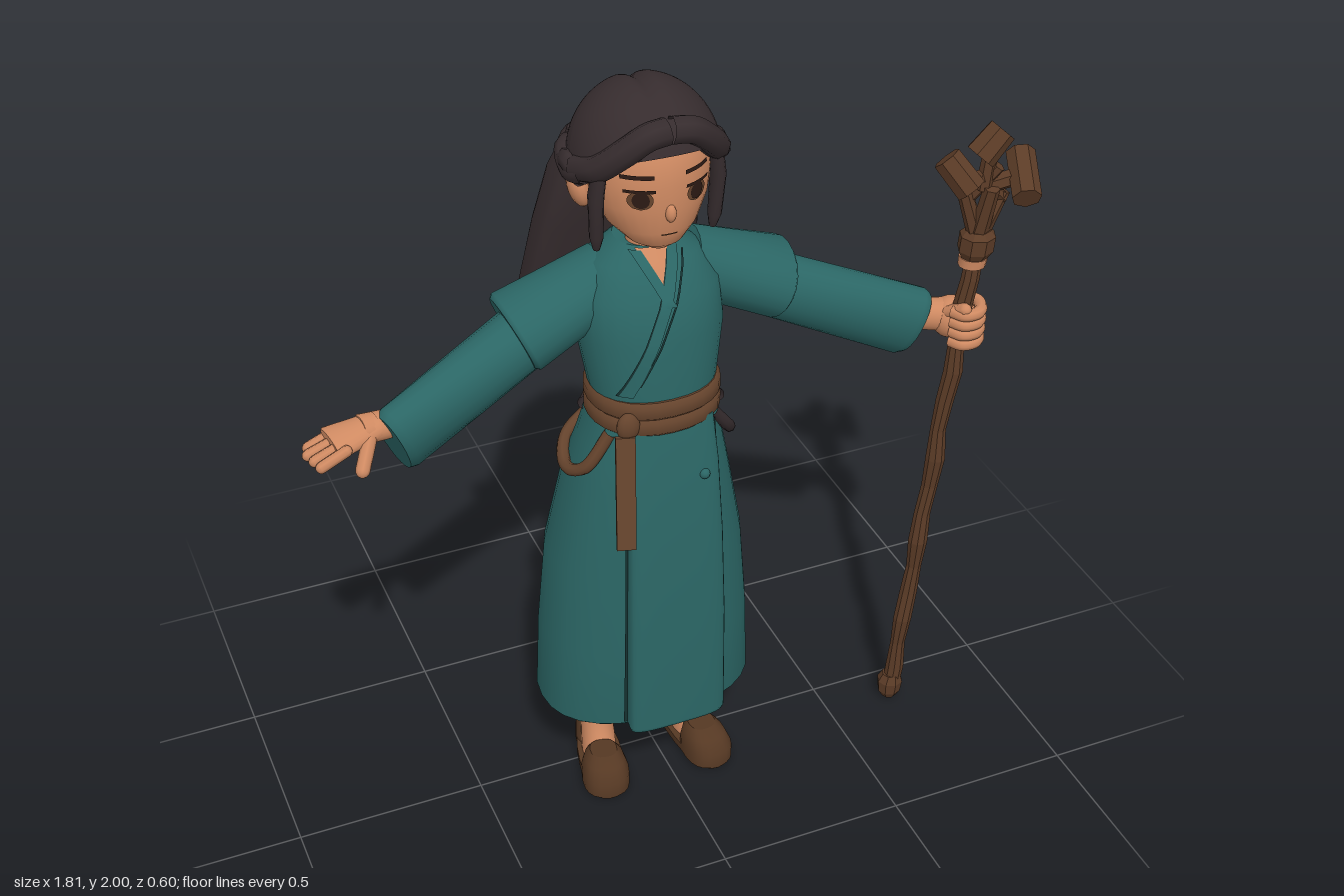
import * as THREE from 'three';

const V = (x, y, z) => new THREE.Vector3(x, y, z);
const mat = (name, color, side = THREE.FrontSide) => {
  const m = new THREE.MeshStandardMaterial({ color, side });
  m.name = name;
  return m;
};

// Stacked superellipse rings; each section is [y, rx, rz, cx, cz]
function loft(secs, n = 24, e = 2) {
  const pos = [], idx = [];
  const ring = ([y, rx, rz, cx = 0, cz = 0]) => {
    const start = pos.length / 3;
    for (let j = 0; j < n; j++) {
      const t = (j / n) * Math.PI * 2, c = Math.cos(t), s = Math.sin(t);
      pos.push(cx + rx * Math.sign(c) * Math.abs(c) ** (2 / e), y, cz + rz * Math.sign(s) * Math.abs(s) ** (2 / e));
    }
    return start;
  };
  const starts = secs.map(ring);
  for (let i = 0; i + 1 < starts.length; i++) for (let j = 0; j < n; j++) {
    const k = (j + 1) % n, a = starts[i] + j, b = starts[i] + k, c = starts[i + 1] + j, d = starts[i + 1] + k;
    idx.push(a, c, b, b, c, d);
  }
  for (const top of [false, true]) {
    const s = top ? secs[secs.length - 1] : secs[0], r = ring(s), mid = pos.length / 3;
    pos.push(s[3] || 0, s[0], s[4] || 0);
    for (let j = 0; j < n; j++) {
      const k = (j + 1) % n;
      idx.push(mid, r + (top ? k : j), r + (top ? j : k));
    }
  }
  const g = new THREE.BufferGeometry();
  g.setAttribute('position', new THREE.Float32BufferAttribute(pos, 3));
  g.setIndex(idx);
  g.computeVertexNormals();
  return g;
}

// Front z of a lofted shape at (x, y)
function frontZ(secs, x, y, e = 2) {
  let i = 0;
  while (i < secs.length - 2 && y > secs[i + 1][0]) i++;
  const a = secs[i], b = secs[i + 1], t = THREE.MathUtils.clamp((y - a[0]) / (b[0] - a[0]), 0, 1);
  const [, rx, rz, cx, cz] = a.map((v, k) => v + (b[k] - v) * t);
  return cz + rz * Math.max(0, 1 - Math.abs((x - cx) / rx) ** e) ** (1 / e);
}

// Thin patch lying on the front of a loft; mid and half give centre and half width for t in 0..1
function drape(secs, y0, y1, mid, half, e = 2, off = 0.005) {
  const g = new THREE.PlaneGeometry(1, 1, 6, 12), p = g.attributes.position;
  for (let i = 0; i < p.count; i++) {
    const t = p.getY(i) + 0.5, y = y0 + (y1 - y0) * t, x = mid(t) + p.getX(i) * 2 * half(t);
    p.setXYZ(i, x, y, frontZ(secs, x, y, e) + off);
  }
  g.computeVertexNormals();
  return g;
}

const tube = (pts, r, closed = false) =>
  new THREE.TubeGeometry(new THREE.CatmullRomCurve3(pts.map(p => V(...p)), closed), 48, r, 8, closed);
const faceted = g => { g = g.toNonIndexed(); g.computeVertexNormals(); return g; };

export function createModel() {
  const root = new THREE.Group();
  const teal = mat('teal cloth', 0x2b6665), seam = mat('seam', 0x15302f), skin = mat('skin', 0xcf8a62);
  const hair = mat('dark hair', 0x362c2e, THREE.DoubleSide), leather = mat('belt leather', 0x66442d);
  const shoe = mat('shoe leather', 0x553823), wood = mat('wood', 0x5c3c27), eyeMat = mat('eye brown', 0x2c1a14);
  const add = (name, geo, m, parent = root) => {
    const mesh = new THREE.Mesh(geo, m);
    mesh.name = name;
    parent.add(mesh);
    return mesh;
  };
  // Places a shape built up the y axis from 0 so that it runs from a toward b
  const aim = (mesh, a, b) => {
    mesh.position.copy(a);
    mesh.quaternion.setFromUnitVectors(V(0, 1, 0), b.clone().sub(a).normalize());
    return mesh;
  };
  const limb = (name, a, b, r0, r1, m, n = 20) => {
    const L = a.distanceTo(b);
    return aim(add(name, loft([[0, ...r0], [L * 0.5, (r0[0] + r1[0]) / 2, (r0[1] + r1[1]) / 2], [L * 0.96, ...r1], [L, r1[0] * 0.9, r1[1] * 0.9]], n), m), a, b);
  };
  const finger = (name, a, b, r) => {
    const L = a.distanceTo(b);
    return aim(add(name, new THREE.CapsuleGeometry(r, L, 4, 8).translate(0, L / 2, 0), skin), a, b);
  };
  const rod = (name, a, b, r0, r1, n = 6) => {
    const L = a.distanceTo(b);
    return aim(add(name, faceted(new THREE.CylinderGeometry(r1, r0, L, n).translate(0, L / 2, 0)), wood), a, b);
  };

  // Robe
  const skirt = [[0.25, 0.268, 0.18, -0.03, 0.005], [0.27, 0.288, 0.2, -0.03, 0.005], [0.5, 0.278, 0.198, -0.03, 0.008], [0.75, 0.256, 0.187, -0.032, 0.017],
    [1.0, 0.206, 0.162, -0.033, 0.037], [1.1, 0.178, 0.145, -0.027, 0.046], [1.2, 0.155, 0.13, -0.02, 0.05]];
  add('skirt', loft(skirt, 28, 2.3), teal);
  const panel = [[0.265, 0.128, 0.03, -0.02, 0.212], [0.28, 0.132, 0.036, -0.02, 0.214], [0.6, 0.13, 0.036, -0.019, 0.208],
    [0.85, 0.125, 0.035, -0.018, 0.194], [1.05, 0.118, 0.034, -0.016, 0.172], [1.18, 0.11, 0.03, -0.016, 0.152]];
  add('frontPanel', loft(panel, 32, 3.5), teal);
  for (const x of [-0.155, 0.117]) add('skirtSeam', drape(skirt, 0.28, 1.15, t => x - (x + 0.02) * 0.12 * t, () => 0.004, 2.3), seam);
  add('button', new THREE.SphereGeometry(0.014, 12, 8).translate(0.055, 1.03, 0.205), teal);
  const torso = [[1.15, 0.155, 0.135, -0.02, 0.05], [1.25, 0.158, 0.132, -0.02, 0.048], [1.4, 0.182, 0.142, -0.02, 0.03],
    [1.5, 0.178, 0.135, -0.02, 0.01], [1.57, 0.135, 0.1, -0.02, -0.005], [1.61, 0.07, 0.068, -0.02, -0.01]];
  add('torso', loft(torso, 28, 2.2), teal);
  add('neckOpening', drape(torso, 1.525, 1.608, () => -0.02, t => 0.003 + 0.042 * t, 2.2, 0.006), skin);
  add('collarRight', drape(torso, 1.49, 1.605, t => -0.012 - 0.055 * t, () => 0.013, 2.2, 0.009), teal);
  add('collarLeft', drape(torso, 1.27, 1.605, t => -0.13 + 0.157 * t, () => 0.015, 2.2, 0.009), teal);
  add('wrapSeam', drape(torso, 1.27, 1.6, t => -0.147 + 0.157 * t, () => 0.003, 2.2, 0.008), seam);
  add('lapelSeam', drape(torso, 1.3, 1.59, t => -0.1 + 0.15 * t, () => 0.003, 2.2, 0.008), seam);

  // Sleeves, mirrored
  for (const s of [1, -1]) {
    const P = (x, y, z) => V(s > 0 ? x : -0.015 - x, y, z);
    limb('shoulderSleeve', P(0.09, 1.505, -0.02), P(0.335, 1.405, -0.01), [0.085, 0.09], [0.097, 0.122], teal);
    limb('lowerSleeve', P(0.25, 1.42, -0.02), P(0.67, 1.255, 0.1), [0.08, 0.082], [0.105, 0.066], teal);
  }

  // Open right hand
  limb('rightWrist', V(-0.64, 1.3, 0.085), V(-0.76, 1.315, 0.105), [0.034, 0.034], [0.032, 0.04], skin);
  limb('rightPalm', V(-0.72, 1.315, 0.1), V(-0.835, 1.305, 0.12), [0.03, 0.036], [0.022, 0.054], skin);
  for (let i = 0; i < 4; i++) {
    const z = 0.075 + i * 0.029;
    finger('rightFinger', V(-0.81, 1.308, z + 0.003), V(-0.885 + Math.abs(i - 1) * 0.008, 1.277, z), 0.014);
  }
  finger('rightThumb', V(-0.745, 1.305, 0.13), V(-0.785, 1.27, 0.2), 0.017);

  // Gripping left hand
  limb('leftWrist', V(0.62, 1.29, 0.095), V(0.74, 1.285, 0.14), [0.04, 0.036], [0.045, 0.042], skin);
  add('leftPalm', new THREE.SphereGeometry(1, 20, 14).scale(0.05, 0.055, 0.05).translate(0.745, 1.28, 0.145), skin);
  for (let i = 0; i < 4; i++) {
    const y = 1.237 + i * 0.028;
    add('leftFinger', tube([[0.775, y, 0.12], [0.808, y, 0.165], [0.785, y, 0.212], [0.745, y, 0.215], [0.725, y, 0.185]], 0.016), skin);
  }
  finger('leftThumb', V(0.72, 1.3, 0.15), V(0.745, 1.335, 0.21), 0.017);

  // Staff with a crown of cut twigs
  const shaft = [];
  for (let i = 0; i <= 16; i++) {
    const t = i / 16, r = 0.023 + 0.003 * Math.sin(i * 2.3);
    shaft.push([0.02 + t * 1.48, r, r, 0.688 + 0.084 * t + 0.004 * Math.sin(i * 1.7), 0.1 + 0.085 * t + 0.003 * Math.cos(i * 2.1)]);
  }
  add('staffShaft', faceted(loft(shaft, 9)), wood);
  add('staffFoot', faceted(loft([[0.005, 0.02, 0.02, 0.687, 0.1], [0.025, 0.032, 0.032, 0.687, 0.1], [0.06, 0.036, 0.036, 0.688, 0.1], [0.085, 0.026, 0.026, 0.69, 0.102]], 8)), wood);
  add('staffRing', loft([[1.445, 0.034, 0.034, 0.768, 0.183], [1.47, 0.036, 0.036, 0.77, 0.184]], 12), skin);
  add('staffCollar', faceted(loft([[1.47, 0.034, 0.034, 0.77, 0.185], [1.49, 0.045, 0.045, 0.772, 0.186], [1.53, 0.045, 0.045, 0.774, 0.188], [1.545, 0.03, 0.03, 0.775, 0.188]], 8)), wood);
  const twigs = [
    [0.77, 1.52, 0.19, 0.73, 1.65, 0.18, 0.021, 0.018], [0.775, 1.52, 0.19, 0.83, 1.64, 0.19, 0.021, 0.018],
    [0.77, 1.52, 0.19, 0.78, 1.67, 0.22, 0.024, 0.02], [0.775, 1.53, 0.18, 0.76, 1.63, 0.13, 0.02, 0.016],
    [0.74, 1.62, 0.17, 0.8, 1.72, 0.21, 0.018, 0.016], [0.83, 1.62, 0.19, 0.75, 1.7, 0.2, 0.018, 0.016],
    [0.77, 1.66, 0.2, 0.78, 1.77, 0.2, 0.02, 0.018], [0.77, 1.66, 0.19, 0.86, 1.69, 0.22, 0.022, 0.022],
    [0.75, 1.75, 0.2, 0.805, 1.81, 0.2, 0.04, 0.036], [0.685, 1.74, 0.16, 0.73, 1.67, 0.21, 0.036, 0.038],
    [0.84, 1.66, 0.28, 0.88, 1.72, 0.17, 0.036, 0.036]];
  for (const [a, b, c, d, e, f, r0, r1] of twigs) rod('staffTwig', V(a, b, c), V(d, e, f), r0, r1, r0 > 0.03 ? 7 : 6);

  // Belt, hanging tail and cords
  for (const y of [1.16, 1.205])
    add('belt', loft([[y, 0.158, 0.138, -0.02, 0.05], [y + 0.01, 0.167, 0.148, -0.02, 0.05], [y + 0.037, 0.167, 0.148, -0.02, 0.05], [y + 0.047, 0.156, 0.136, -0.02, 0.05]], 28, 2.2), leather);
  add('beltKnot', new THREE.SphereGeometry(1, 14, 10).scale(0.03, 0.038, 0.02).translate(-0.13, 1.195, 0.17), leather);
  const tail = aim(add('beltTail', new THREE.BoxGeometry(0.048, 0.3, 0.014).translate(0, 0.15, 0), leather), V(-0.162, 0.88, 0.232), V(-0.142, 1.18, 0.18));
  tail.rotateY(-0.25);
  add('leftCord', tube([[0.1, 1.165, 0.14], [0.155, 1.09, 0.11], [0.185, 1.04, 0.05], [0.16, 1.035, -0.06], [0.07, 1.04, -0.14], [0.09, 1.07, -0.115], [0.15, 1.12, -0.02], [0.145, 1.16, 0.08]], 0.016), hair);
  add('rightCord', tube([[-0.16, 1.16, 0.13], [-0.22, 1.06, 0.11], [-0.245, 1.03, 0.05], [-0.21, 1.05, -0.05], [-0.1, 1.08, -0.115], [0.0, 1.13, -0.105], [0.09, 1.17, -0.08]], 0.016), leather);
  add('backCord', tube([[-0.18, 1.17, 0.0], [-0.12, 1.13, -0.09], [-0.02, 1.08, -0.125], [0.08, 1.04, -0.13]], 0.015), hair);

  // Legs and shoes
  for (const [x, turn] of [[-0.155, -0.2], [0.1, 0.1]]) {
    add('trouserCuff', loft([[0.155, 0.058, 0.066, x, -0.02], [0.165, 0.064, 0.072, x, -0.02], [0.32, 0.076, 0.08, x, -0.02]]), shoe);
    const foot = new THREE.Group();
    foot.name = 'foot';
    foot.position.set(x, 0, -0.02);
    foot.rotation.y = turn;
    root.add(foot);
    add('ankle', loft([[0.03, 0.046, 0.085, 0, 0.035], [0.08, 0.045, 0.07, 0, 0.02], [0.12, 0.042, 0.048], [0.2, 0.045, 0.05]]), skin, foot);
    add('sole', loft([[0, 0.054, 0.14, 0, 0.065], [0.006, 0.06, 0.145, 0, 0.065], [0.028, 0.06, 0.143, 0, 0.065]], 24, 2.5), shoe, foot);
    add('shoeToe', loft([[0.01, 0.063, 0.075, 0, 0.135], [0.05, 0.063, 0.074, 0, 0.134], [0.08, 0.052, 0.058, 0, 0.122], [0.095, 0.036, 0.035, 0, 0.108]], 20, 2.5), shoe, foot);
    add('shoeHeel', loft([[0.01, 0.054, 0.05, 0, -0.03], [0.07, 0.052, 0.046, 0, -0.03], [0.105, 0.042, 0.03, 0, -0.04]], 20, 2.5), shoe, foot);
  }

  // Head and face
  const head = [[1.63, 0.03, 0.035, -0.02, 0.08], [1.65, 0.068, 0.075, -0.02, 0.065], [1.69, 0.108, 0.11, -0.02, 0.045], [1.75, 0.138, 0.135, -0.02, 0.028],
    [1.81, 0.148, 0.145, -0.02, 0.018], [1.88, 0.142, 0.145, -0.02, 0.01], [1.95, 0.09, 0.1, -0.02, 0.005]];
  add('head', loft(head, 32), skin);
  add('neck', loft([[1.54, 0.062, 0.055, -0.02, 0.01], [1.6, 0.05, 0.046, -0.02, 0.015], [1.7, 0.05, 0.046, -0.02, 0.02]]), skin);
  add('nose', new THREE.SphereGeometry(1, 12, 8).scale(0.013, 0.022, 0.014).translate(-0.02, 1.745, 0.163), skin);
  add('mouth', drape(head, 1.687, 1.691, () => -0.02, () => 0.02, 2, 0.003), leather);
  for (const s of [1, -1]) {
    const X = x => -0.02 + s * x;
    add('eye', drape(head, 1.76, 1.808, () => X(0.068), t => 0.027 * Math.sqrt(Math.max(0, 1 - (2 * t - 1) ** 2)), 2, 0.004), leather);
    add('pupil', drape(head, 1.764, 1.806, () => X(0.068), t => 0.018 * Math.sqrt(Math.max(0, 1 - (2 * t - 1) ** 2)), 2, 0.006), eyeMat);
    add('lash', drape(head, 1.803, 1.811, () => X(0.07), () => 0.033, 2, 0.007), eyeMat);
    add('brow', drape(head, 1.834, 1.844, () => X(0.072), () => 0.034, 2, 0.004), eyeMat);
    const ear = add('ear', new THREE.SphereGeometry(1, 14, 10).scale(0.024, 0.05, 0.032), skin);
    ear.position.set(X(0.162), 1.765, 0.005);
    ear.rotation.z = -s * 0.3;
    // Front roll, side lock and braid end
    add('frontRoll', tube([[X(0.005), 1.945, 0.15], [X(0.05), 1.94, 0.153], [X(0.1), 1.9, 0.132], [X(0.145), 1.85, 0.085], [X(0.168), 1.825, 0.02]], 0.033), hair);
    add('sideLock', loft([[1.635, 0.008, 0.01, X(0.145), 0.07], [1.67, 0.016, 0.02, X(0.147), 0.076], [1.78, 0.018, 0.026, X(0.15), 0.085], [1.86, 0.016, 0.024, X(0.14), 0.09]], 12), hair);
  }

  // Hair cap with a parting groove, braided band and long back hair
  const cap = new THREE.SphereGeometry(1, 48, 24, 0, Math.PI * 2, 0, Math.PI / 2), cp = cap.attributes.position;
  for (let i = 0; i < cp.count; i++) {
    const k = 1 - 0.07 * Math.exp(-((cp.getX(i) / 0.1) ** 2));
    cp.setXYZ(i, cp.getX(i) * 0.178, cp.getY(i) * 0.19 * k, cp.getZ(i) * 0.185);
  }
  cap.computeVertexNormals();
  const capMesh = add('hairCap', cap, hair);
  capMesh.position.set(-0.02, 1.818, 0.005);
  capMesh.rotation.x = -0.42;
  for (const w of [0, Math.PI]) {
    const pts = [];
    for (let i = 0; i <= 20; i++) {
      const a = -0.35 + (i / 20) * (Math.PI + 0.7), p = i * 1.3 + w;
      pts.push([-0.02 + Math.cos(a) * 0.176, 1.82 + 0.011 * Math.sin(p), -0.005 - Math.sin(a) * 0.172 + 0.006 * Math.cos(p)]);
    }
    add('hairBand', tube(pts, 0.025), hair);
  }
  add('backHair', loft([[1.21, 0.215, 0.038, -0.033, -0.248], [1.222, 0.238, 0.056, -0.033, -0.248], [1.26, 0.24, 0.06, -0.033, -0.242], [1.4, 0.23, 0.066, -0.032, -0.2],
    [1.6, 0.205, 0.07, -0.03, -0.152], [1.75, 0.18, 0.075, -0.025, -0.115], [1.85, 0.14, 0.06, -0.02, -0.1]], 36, 3.5), hair);
  return root;
}
